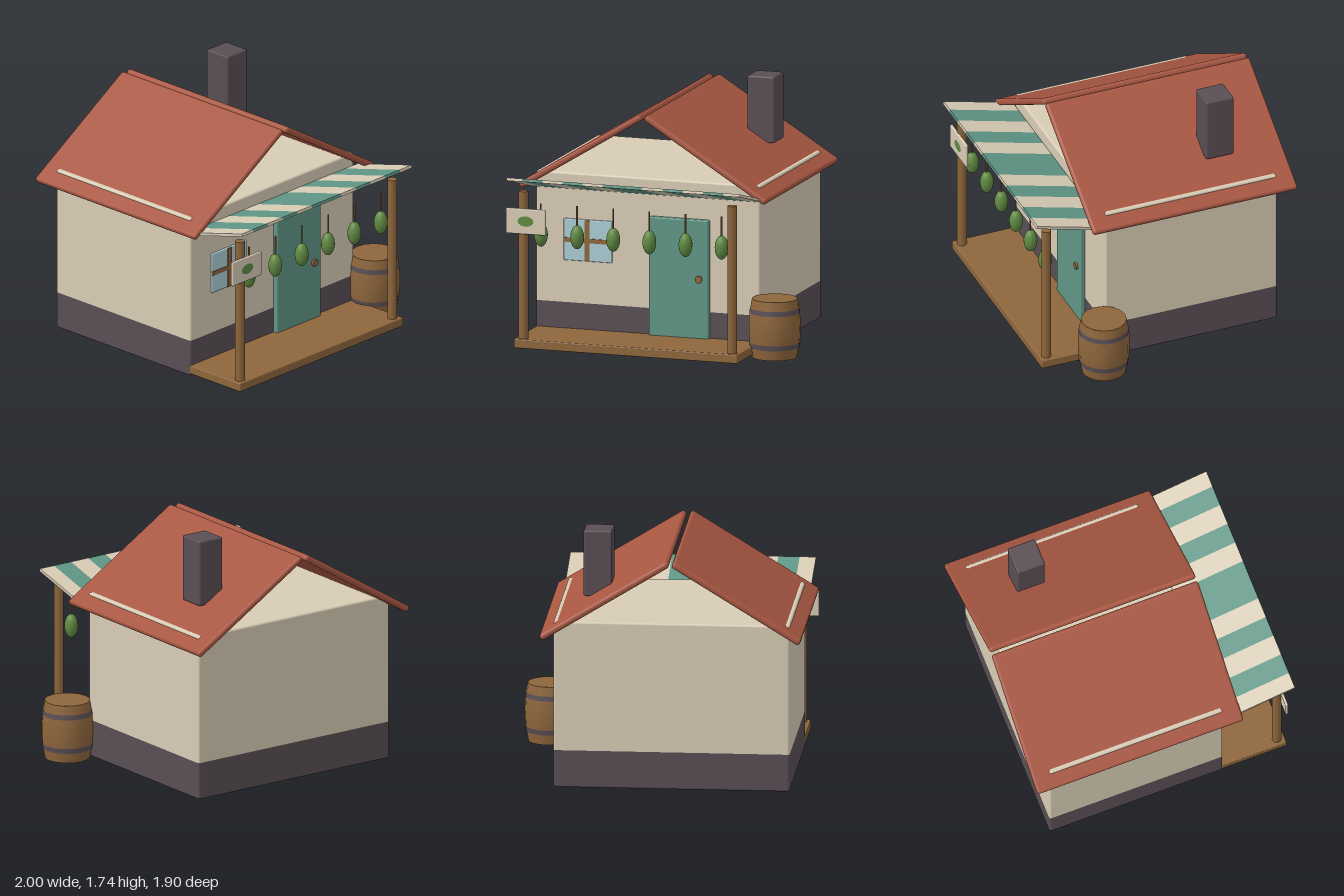
import * as THREE from 'three';
import { RoundedBoxGeometry } from 'three/addons/geometries/RoundedBoxGeometry.js';

const paint = (name, color) => {
  const m = new THREE.MeshStandardMaterial({ color });
  m.name = name;
  return m;
};

export function createModel() {
  const root = new THREE.Group();
  root.name = 'cottage';

  const cream = paint('cream', 0xd8ccb5);
  const dark = paint('darkStone', 0x594e54);
  const clay = paint('clayRed', 0xa85742);
  const teal = paint('teal', 0x609686);
  const wood = paint('wood', 0x8e663c);
  const glass = paint('glassBlue', 0xabcdd5);
  const green = paint('gourdGreen', 0x5f8a42);

  const add = (name, geo, mat, x = 0, y = 0, z = 0, parent = root) => {
    const m = new THREE.Mesh(geo, mat);
    m.name = name;
    m.position.set(x, y, z);
    parent.add(m);
    return m;
  };
  // Box given by its limits, with softened edges when r > 0
  const block = (name, mat, [x0, x1], [y0, y1], [z0, z1], r = 0) => {
    const s = [x1 - x0, y1 - y0, z1 - z0];
    const geo = r ? new RoundedBoxGeometry(...s, 2, r) : new THREE.BoxGeometry(...s);
    return add(name, geo, mat, (x0 + x1) / 2, (y0 + y1) / 2, (z0 + z1) / 2);
  };
  // Flatten a rounded box at one local height so two boxes meet flush
  const clampY = (mesh, lo, hi) => {
    const p = mesh.geometry.attributes.position;
    for (let i = 0; i < p.count; i++) {
      p.setY(i, THREE.MathUtils.clamp(p.getY(i), lo - mesh.position.y, hi - mesh.position.y));
    }
  };

  // House body: stone base and plaster walls
  const houseX = [-0.92, 0.69], houseZ = [-0.83, 0.43];
  clampY(block('stoneBase', dark, houseX, [0, 0.4], houseZ, 0.015), 0, 0.26);
  clampY(block('walls', cream, houseX, [0.1, 1.16], houseZ, 0.015), 0.26, 2);

  // Two tilted roof slabs, open at the ridge
  const pitch = Math.atan2(0.51, 0.83);
  for (const side of [-1, 1]) {
    const slab = add(side < 0 ? 'rightRoofSlab' : 'leftRoofSlab',
      new RoundedBoxGeometry(1.02, 0.045, 1.5, 3, 0.02), clay, -0.115 + side * 0.45, 1.335, -0.2);
    slab.rotation.z = -side * pitch;
  }
  block('chimney', dark, [0.31, 0.505], [1.28, 1.74], [-0.59, -0.39], 0.012);

  // Porch floor and posts
  block('porchFloor', wood, houseX, [0.017, 0.08], [0.42, 0.895], 0.008);
  for (const x of [-0.866, 0.636]) {
    add('porchPost', new THREE.CylinderGeometry(0.033, 0.033, 1.02, 16), wood, x, 0.59, 0.842);
  }

  // Striped awning, higher at its outer edge
  const awning = new THREE.Group();
  awning.name = 'awning';
  awning.position.set(0, 1.128, 0.69);
  awning.rotation.x = -Math.atan(0.268);
  root.add(awning);
  const edges = [-0.952, -0.84, -0.695, -0.55, -0.406, -0.262, 0.027, 0.171, 0.316, 0.46, 0.604, 0.722];
  for (let i = 0; i < edges.length - 1; i++) {
    const w = edges[i + 1] - edges[i];
    add('awningStripe', new THREE.BoxGeometry(w, 0.02, 0.525), i % 2 ? teal : cream,
      edges[i] + w / 2, 0, 0, awning);
  }

  // Door and knob
  block('door', teal, [-0.1, 0.33], [0.07, 0.9], [0.41, 0.464], 0.01);
  const knob = add('doorKnob', new THREE.CylinderGeometry(0.026, 0.026, 0.02, 8), wood, 0.263, 0.49, 0.47);
  knob.rotation.set(Math.PI / 2, Math.PI / 8, 0);

  // Window with crossed bars
  block('windowPane', glass, [-0.72, -0.37], [0.553, 0.842], [0.42, 0.442], 0.008);
  block('windowUpright', wood, [-0.566, -0.53], [0.556, 0.838], [0.435, 0.449]);
  block('windowCrossbar', wood, [-0.717, -0.373], [0.682, 0.712], [0.435, 0.448]);

  // Sign board with a painted oval
  block('signBoard', cream, [-0.98, -0.695], [0.808, 0.985], [0.864, 0.884], 0.008);
  const oval = add('signOval', new THREE.CircleGeometry(1, 14), green, -0.837, 0.898, 0.886);
  oval.scale.set(0.057, 0.036, 1);

  // Row of hanging gourds
  for (let i = 0; i < 6; i++) {
    const x = -0.75 + i * 0.26;
    add('gourdString', new THREE.CylinderGeometry(0.006, 0.006, 0.15, 6), wood, x, 0.94, 0.817);
    const gourd = add('gourd', new THREE.SphereGeometry(1, 16, 12), green, x, 0.8, 0.815);
    gourd.scale.set(0.047, 0.083, 0.047);
  }

  // Barrel: bulging staves with flush hoops
  const barrel = new THREE.Group();
  barrel.name = 'barrel';
  barrel.position.set(0.82, 0, 0.495);
  root.add(barrel);
  const bulge = y => 0.177 - 0.022 * ((y - 0.203) / 0.203) ** 2;
  const ring = (name, mat, ys, grow = 0) => add(name,
    new THREE.LatheGeometry(ys.map(y => new THREE.Vector2(bulge(y) + grow, y)), 16), mat, 0, 0, 0, barrel);
  ring('staves', wood, [0, 0.07, 0.14, 0.203, 0.27, 0.34, 0.405]);
  ring('lowerHoop', dark, [0.07, 0.105], 0.002);
  ring('upperHoop', dark, [0.308, 0.342], 0.002);
  for (const [name, y, turn] of [['barrelLid', 0.405, -1], ['barrelBottom', 0, 1]]) {
    const cap = add(name, new THREE.CircleGeometry(0.155, 16), wood, 0, y, 0, barrel);
    cap.rotation.x = turn * Math.PI / 2;
  }

  return root;
}
